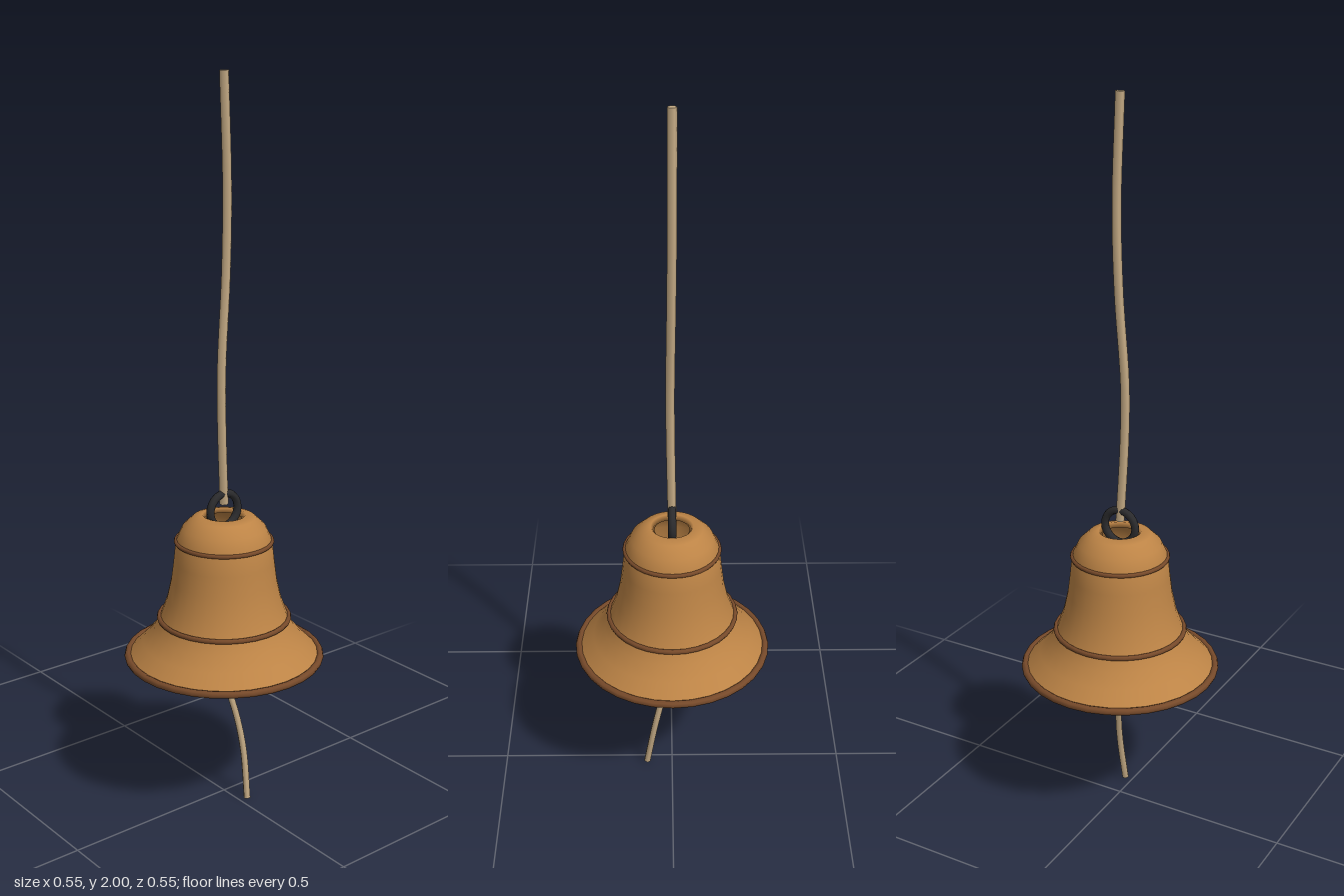
import * as THREE from 'three';

const mat = (name, color) => Object.assign(new THREE.MeshStandardMaterial({ color }), { name });

export function createModel() {
  const model = new THREE.Group();
  const bronze = mat('bronze', 0xbd8446);
  const darkBronze = mat('dark bronze', 0x774a2a);
  const iron = mat('iron', 0x2b2b2d);
  const rope = mat('rope', 0xc4aa84);

  const add = (name, geometry, material, x = 0, y = 0, z = 0) => {
    const mesh = new THREE.Mesh(geometry, material);
    mesh.name = name;
    mesh.position.set(x, y, z);
    model.add(mesh);
    return mesh;
  };

  // Hollow bell: inner wall and outer wall joined at the lip and crown hole
  const outer = [
    [0.27, 0.43], [0.225, 0.475], [0.195, 0.51], [0.175, 0.55], [0.157, 0.6],
    [0.145, 0.655], [0.138, 0.71], [0.132, 0.765], [0.114, 0.805], [0.085, 0.833], [0.058, 0.84],
  ];
  const inner = [
    [0.048, 0.828], [0.08, 0.82], [0.104, 0.795], [0.12, 0.758], [0.126, 0.71],
    [0.133, 0.655], [0.145, 0.6], [0.163, 0.545], [0.184, 0.505], [0.215, 0.467], [0.256, 0.43],
  ];
  const profile = [...outer, ...inner, outer[0]].map(([r, y]) => new THREE.Vector2(r, y));
  add('bellBody', new THREE.LatheGeometry(profile, 32), bronze).material.side = THREE.DoubleSide;

  // Raised bands around shoulder, waist and lip
  for (const [name, r, y, tube] of [
    ['shoulderBand', 0.131, 0.766, 0.006],
    ['waistBand', 0.179, 0.545, 0.007],
    ['lipBand', 0.267, 0.434, 0.01],
  ]) {
    add(name, new THREE.TorusGeometry(r, tube, 8, 32), darkBronze, 0, y).rotation.x = Math.PI / 2;
  }

  // Hanging ring and clapper
  add('hangingRing', new THREE.TorusGeometry(0.047, 0.011, 8, 24), iron, 0, 0.853);
  add('clapperRod', new THREE.CylinderGeometry(0.01, 0.01, 0.42, 8), iron, 0, 0.6);
  add('clapperBall', new THREE.SphereGeometry(0.036, 16, 12), iron, 0, 0.37);

  // Ropes: hexagonal tubes closed with small end caps
  const addRope = (name, points, radius, segments) => {
    const curve = new THREE.CatmullRomCurve3(points.map((p) => new THREE.Vector3(...p)));
    add(name, new THREE.TubeGeometry(curve, segments, radius, 6), rope);
    for (const t of [0, 1]) {
      const end = curve.getPointAt(t);
      const cap = add(name + 'End', new THREE.CircleGeometry(radius, 6), rope, end.x, end.y, end.z);
      cap.lookAt(end.clone().addScaledVector(curve.getTangentAt(t), t ? 1 : -1));
    }
  };
  addRope('hangingRope', [
    [0, 2, 0], [0.01, 1.72, 0], [0.005, 1.5, 0.002], [-0.012, 1.25, 0.005], [-0.011, 1.1, 0.004], [0, 0.87, 0],
  ], 0.012, 24);
  addRope('pullRope', [
    [0, 0.36, 0], [0.022, 0.24, 0.03], [0.029, 0.14, 0.052], [0.024, 0.003, 0.075],
  ], 0.01, 14);

  return model;
}
